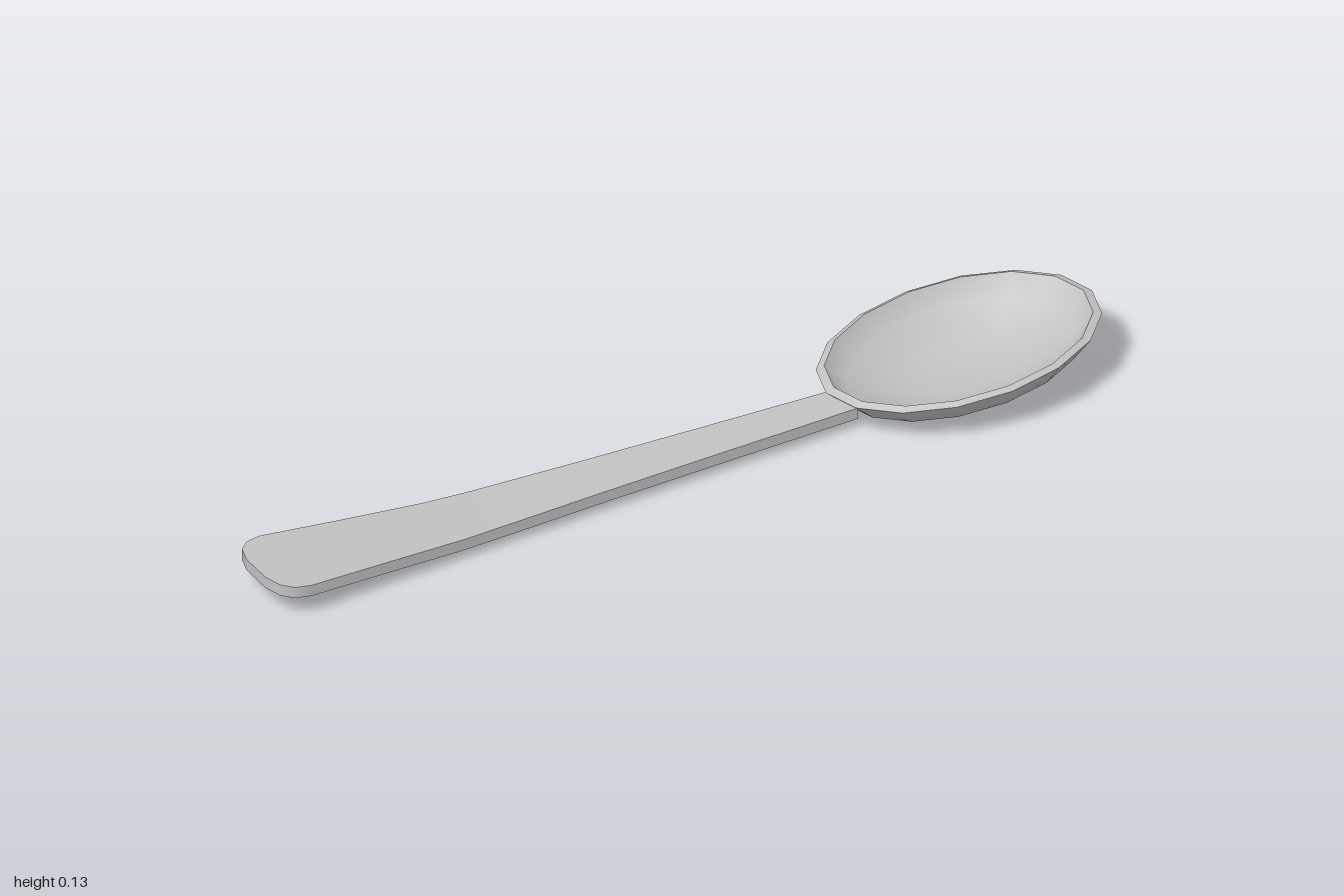
import * as THREE from 'three';

const metal = new THREE.MeshStandardMaterial({ color: 0xc2c2c2 });
metal.name = 'silver metal';

// Handle: a box whose cross-sections follow [x, half width, underside height]
function makeHandle() {
  const stations = [
    [-1, 0.04, 0.046], [-0.988, 0.08, 0.0455], [-0.965, 0.102, 0.044], [-0.93, 0.11, 0.043],
    [-0.75, 0.096, 0.032], [-0.56, 0.083, 0.021], [-0.45, 0.076, 0.019], [-0.2, 0.064, 0.019],
    [0.1, 0.053, 0.019], [0.41, 0.043, 0.019],
  ];
  const thickness = 0.026;
  const n = stations.length - 1;
  const geo = new THREE.BoxGeometry(1, 1, 1, n, 1, 1);
  const p = geo.attributes.position;
  for (let i = 0; i < p.count; i++) {
    const [x, w, y] = stations[Math.round((p.getX(i) + 0.5) * n)];
    p.setXYZ(i, x, y + (p.getY(i) > 0 ? thickness : 0), p.getZ(i) * 2 * w);
  }
  geo.computeVertexNormals();
  const mesh = new THREE.Mesh(geo, metal);
  mesh.name = 'handle';
  return mesh;
}

// Bowl surfaces: 16-sided lathes stretched to an oval and tilted up at the tip
function makeBowlPart(name, profile) {
  const geo = new THREE.LatheGeometry(profile.map(([r, y]) => new THREE.Vector2(r, y)), 16);
  geo.scale(0.318, 1, 0.222);
  geo.rotateZ(0.083);
  geo.translate(0.675, 0.106, 0);
  const mesh = new THREE.Mesh(geo, metal);
  mesh.name = name;
  return mesh;
}

export function createModel() {
  const spoon = new THREE.Group();
  spoon.name = 'spoon';
  const bowl = new THREE.Group();
  bowl.name = 'bowl';
  bowl.add(
    makeBowlPart('bowlOutside', [[0, -0.104], [0.27, -0.101], [0.5, -0.091], [0.86, -0.052], [1, -0.005]]),
    makeBowlPart('bowlRim', [[1, -0.005], [0.94, 0.002]]),
    makeBowlPart('bowlInside', [[0.94, 0.002], [0.81, -0.044], [0.47, -0.08], [0.25, -0.089], [0, -0.092]]),
  );
  spoon.add(makeHandle(), bowl);
  return spoon;
}
